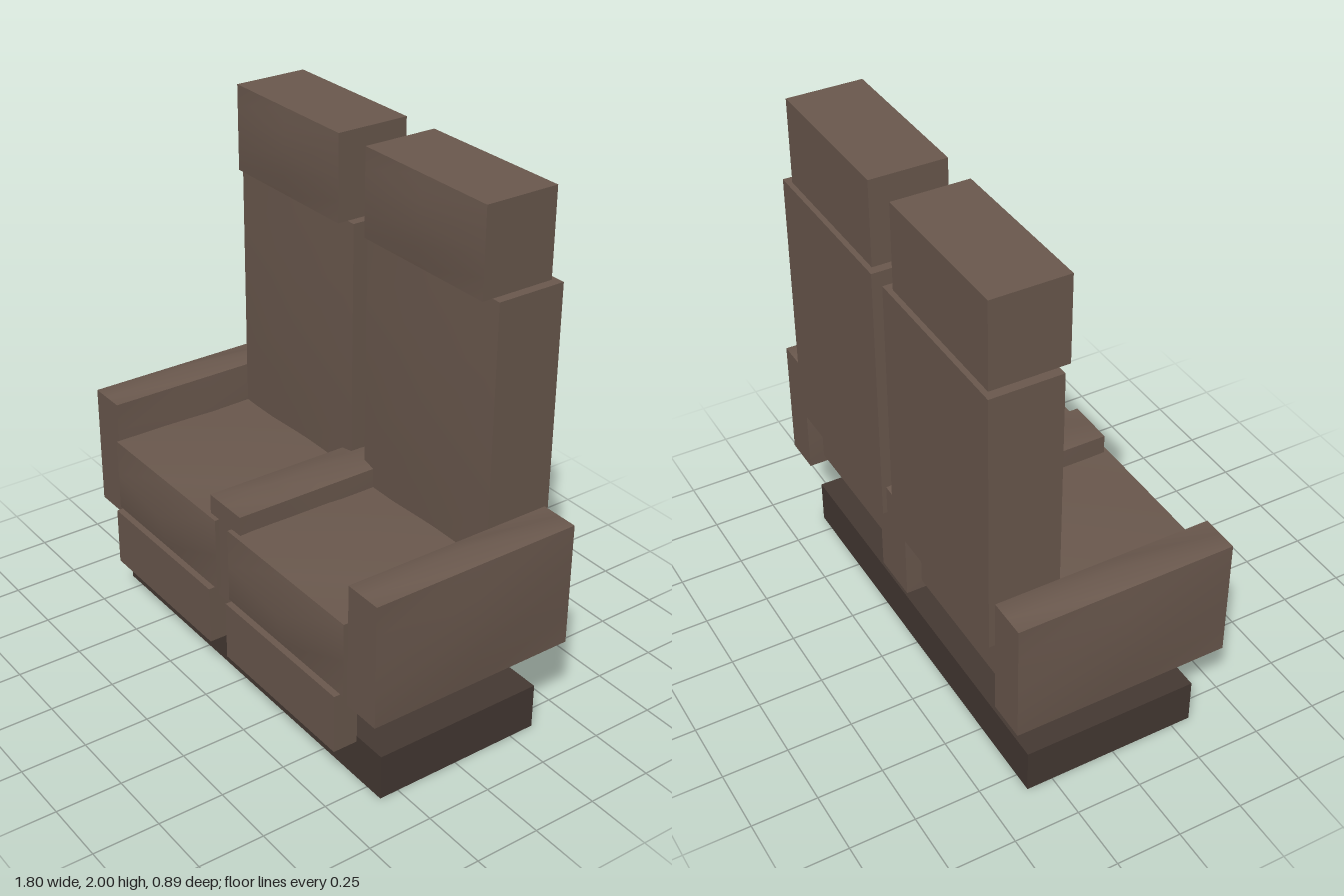
import * as THREE from 'three';

const upholstery = new THREE.MeshStandardMaterial({ color: 0x6b594e });
upholstery.name = 'brown upholstery';
const plinth = new THREE.MeshStandardMaterial({ color: 0x453933 });
plinth.name = 'dark base';

// Box given by its limits; the listed faces swell towards their centres.
// puff keys: 'x' (both sides), 'top', 'front'; seg = segments per axis.
function cushion(name, [x0, x1], [y0, y1], [z0, z1], puff = {}, seg = [1, 1, 1], mat = upholstery) {
  const size = [x1 - x0, y1 - y0, z1 - z0];
  const geo = new THREE.BoxGeometry(...size, ...seg);
  const pos = geo.attributes.position;
  const nor = geo.attributes.normal;
  const dome = (t) => Math.cos(t * Math.PI / 2);
  for (let i = 0; i < pos.count; i++) {
    const u = 2 * pos.getX(i) / size[0], v = 2 * pos.getY(i) / size[1], w = 2 * pos.getZ(i) / size[2];
    if (puff.x && Math.abs(nor.getX(i)) > 0.5) {
      pos.setX(i, pos.getX(i) + nor.getX(i) * puff.x * dome(v) * dome(w));
    } else if (puff.top && nor.getY(i) > 0.5) {
      pos.setY(i, pos.getY(i) + puff.top * dome(u) * dome(w));
    } else if (puff.front && nor.getZ(i) > 0.5) {
      pos.setZ(i, pos.getZ(i) + puff.front * dome(u) * dome(v));
    }
  }
  geo.computeVertexNormals();
  geo.translate((x0 + x1) / 2, (y0 + y1) / 2, (z0 + z1) / 2);
  const mesh = new THREE.Mesh(geo, mat);
  mesh.name = name;
  return mesh;
}

export function createModel() {
  const model = new THREE.Group();
  model.name = 'doubleSeat';

  // Base and the shared middle armrest
  model.add(
    cushion('base', [-0.825, 0.825], [0, 0.177], [-0.35, 0.325], {}, [1, 1, 1], plinth),
    cushion('middleArmrest', [-0.095, 0.095], [0.37, 0.77], [-0.43, 0.395], { x: 0.007, top: 0.025 }, [2, 2, 4]),
  );

  // One seat with its outer armrest per side
  for (const [side, s] of [['left', 1], ['right', -1]]) {
    const span = (a, b) => (s > 0 ? [a, b] : [-b, -a]);
    const seat = new THREE.Group();
    seat.name = side + 'Seat';
    seat.add(
      cushion('seatCushion', span(0.04, 0.728), [0.407, 0.695], [-0.37, 0.413], { top: 0.02, front: 0.032 }, [2, 2, 2]),
      cushion('backrest', span(0.04, 0.728), [0.655, 1.675], [-0.447, -0.18], { front: 0.02 }, [2, 4, 1]),
      cushion('headrest', span(0.075, 0.693), [1.675, 2], [-0.427, -0.14], { front: 0.019 }, [2, 4, 1]),
      cushion('legRest', span(0.055, 0.712), [0.178, 0.407], [0.343, 0.438]),
      cushion('armrest', span(0.734, 0.884), [0.37, 0.845], [-0.427, 0.4], { x: 0.017, top: 0.027 }, [2, 4, 2]),
    );
    model.add(seat);
  }
  return model;
}
